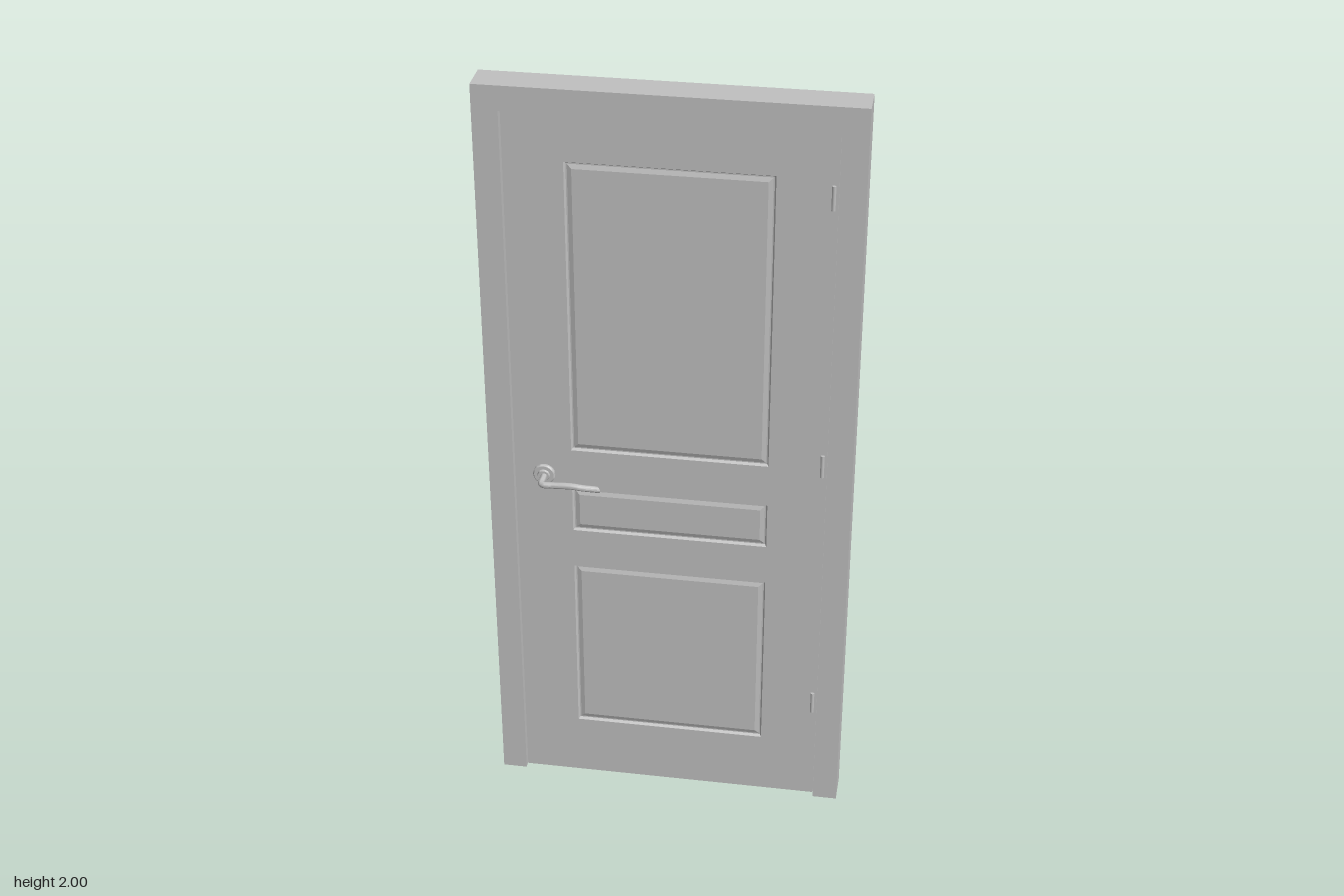
import * as THREE from 'three';
import { toCreasedNormals } from 'three/addons/utils/BufferGeometryUtils.js';

const grey = new THREE.MeshStandardMaterial({ color: 0xc0c0c0 });
grey.name = 'painted grey';

const DOOR_HALF = 0.018; // half the door's thickness

function add(parent, geometry, name) {
  const mesh = new THREE.Mesh(geometry, grey);
  mesh.name = name;
  parent.add(mesh);
  return mesh;
}

// Upside-down U outline, extruded from z0 to z1
function archGeometry(outerX, outerY, innerX, innerY, z0, z1) {
  const shape = new THREE.Shape([
    [-outerX, 0], [-innerX, 0], [-innerX, innerY], [innerX, innerY],
    [innerX, 0], [outerX, 0], [outerX, outerY], [-outerX, outerY],
  ].map(([x, y]) => new THREE.Vector2(x, y)));
  const g = new THREE.ExtrudeGeometry(shape, { depth: z1 - z0, bevelEnabled: false });
  return g.translate(0, 0, z0);
}

function rectPoints(x, y0, y1) {
  return [[-x, y0], [x, y0], [x, y1], [-x, y1]].map(([a, b]) => new THREE.Vector2(a, b));
}

// Moulded panel: rectangular rings stepping inwards, closed by a flat field
function panelGeometry(x, y0, y1) {
  const rings = [[0, 0], [0.004, -0.007], [0.007, -0.007], [0.018, -0.003]].map(([inset, z]) =>
    rectPoints(x - inset, y0 + inset, y1 - inset).map((p) => [p.x, p.y, DOOR_HALF + z]));
  const pos = [];
  const quad = (a, b, c, d) => pos.push(...a, ...b, ...c, ...a, ...c, ...d);
  for (let r = 0; r < rings.length - 1; r++) {
    for (let i = 0; i < 4; i++) {
      const j = (i + 1) % 4;
      quad(rings[r][i], rings[r][j], rings[r + 1][j], rings[r + 1][i]);
    }
  }
  quad(...rings[rings.length - 1]);
  const g = new THREE.BufferGeometry();
  g.setAttribute('position', new THREE.Float32BufferAttribute(pos, 3));
  g.computeVertexNormals();
  return g;
}

// Lever: a bent round bar whose tip is cut at a slant
function leverGeometry() {
  const radius = 0.0082, segments = 48, sides = 14;
  const path = new THREE.CatmullRomCurve3([
    [-0.317, 0, 0.018], [-0.317, 0, 0.045], [-0.317, 0, 0.064], [-0.311, 0, 0.071],
    [-0.29, 0.001, 0.072], [-0.24, 0.004, 0.0735], [-0.21, 0.001, 0.0725], [-0.172, -0.002, 0.069],
  ].map((p) => new THREE.Vector3(...p)), false, 'centripetal');
  const g = new THREE.TubeGeometry(path, segments, radius, sides, false);
  const pos = g.attributes.position;
  const end = path.getPoint(1);
  for (let s = segments - 1; s <= segments; s++) {
    for (let i = 0; i <= sides; i++) {
      const k = s * (sides + 1) + i;
      if (s === segments) {
        pos.setXYZ(k, end.x, end.y, end.z);
      } else {
        // slide this ring to the tip, leaning with depth
        const lean = (pos.getZ(k) - end.z) * 0.9;
        pos.setX(k, end.x + lean);
      }
    }
  }
  return toCreasedNormals(g, 0.7);
}

// Stepped round plate behind the lever
function roseGeometry() {
  const profile = [[0.028, 0], [0.028, 0.005], [0.025, 0.008], [0.016, 0.008], [0.014, 0.013], [0, 0.013]];
  const g = new THREE.LatheGeometry(profile.map(([r, y]) => new THREE.Vector2(r, y)), 28);
  return toCreasedNormals(g.rotateX(Math.PI / 2), 0.5);
}

export function createModel() {
  const model = new THREE.Group();
  model.name = 'panelDoor';

  // Frame and the stop the door closes against
  add(model, archGeometry(0.457, 2, 0.394, 1.938, -0.053, 0.0325), 'frame');
  add(model, archGeometry(0.394, 1.938, 0.378, 1.922, -0.036, -DOOR_HALF - 0.001), 'doorStop');

  // Door slab with an opening for each panel
  const door = new THREE.Group();
  door.name = 'door';
  model.add(door);
  const panels = [[0.175, 0.68], [0.79, 0.915], [1.03, 1.815]];
  const panelX = 0.248;
  const slab = new THREE.Shape(rectPoints(0.3925, 0.002, 1.9365));
  for (const [y0, y1] of panels) slab.holes.push(new THREE.Path(rectPoints(panelX, y0, y1)));
  const slabGeometry = new THREE.ExtrudeGeometry(slab, { depth: DOOR_HALF * 2, bevelEnabled: false });
  add(door, slabGeometry.translate(0, 0, -DOOR_HALF), 'slab');

  // Moulded panels on both faces
  for (const [y0, y1] of panels) {
    const g = panelGeometry(panelX, y0, y1);
    add(door, g, 'frontPanel');
    add(door, g, 'backPanel').rotation.y = Math.PI;
  }

  // Matching handles on both faces
  const rose = roseGeometry();
  const lever = leverGeometry();
  for (const side of [1, -1]) {
    const handle = new THREE.Group();
    handle.name = side > 0 ? 'frontHandle' : 'backHandle';
    handle.position.y = 0.955;
    handle.scale.z = side;
    add(handle, rose, 'rose').position.set(-0.318, 0, DOOR_HALF);
    add(handle, lever, 'lever');
    door.add(handle);
  }

  // Hinge knuckles
  for (const y of [0.31, 1.045, 1.77]) {
    const hinge = add(model, new THREE.CylinderGeometry(0.005, 0.005, 0.062, 14), 'hinge');
    hinge.position.set(0.381, y, DOOR_HALF + 0.002);
  }

  return model;
}
